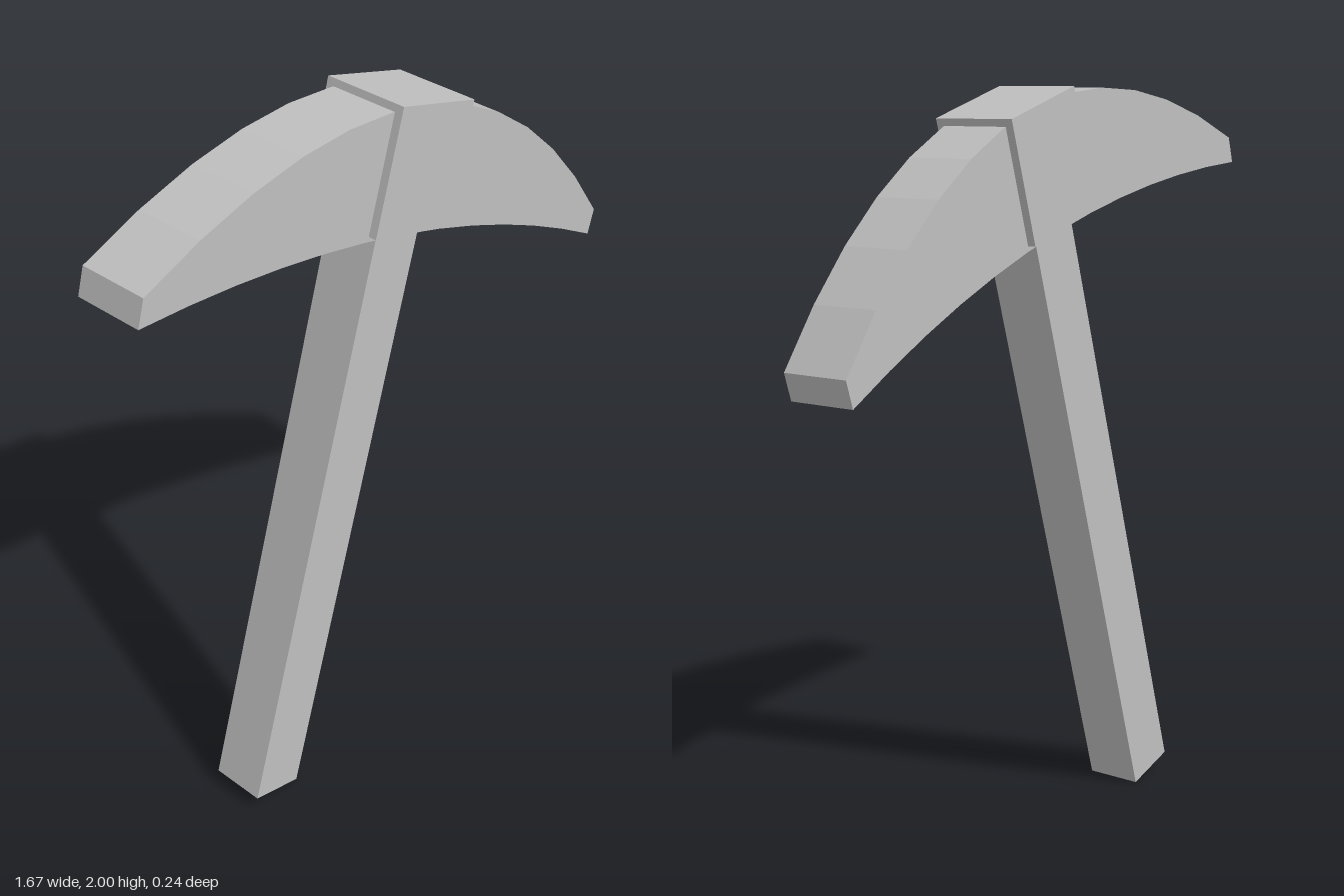
import * as THREE from 'three';

export function createModel() {
  const model = new THREE.Group();
  model.name = 'pickaxe';
  const grey = new THREE.MeshStandardMaterial({ color: 0xbfbfbf });
  grey.name = 'plain grey';
  grey.flatShading = true;

  const add = (name, geometry, y = 0) => {
    const mesh = new THREE.Mesh(geometry, grey);
    mesh.name = name;
    mesh.position.y = y;
    model.add(mesh);
  };

  // Curved blade: two shallow arcs joined by blunt tips
  const halfSpan = 0.863, steps = 12, thickness = 0.194;
  const outline = [];
  for (let i = 0; i <= steps; i++) {
    const u = halfSpan * (2 * i / steps - 1);
    outline.push(new THREE.Vector2(u, -0.174 - 0.144 * u * u));
  }
  for (let i = steps; i >= 0; i--) {
    const u = halfSpan * (2 * i / steps - 1);
    outline.push(new THREE.Vector2(u, 0.157 - 0.49 * u * u));
  }
  const blade = new THREE.ExtrudeGeometry(new THREE.Shape(outline), {
    depth: thickness, bevelEnabled: false,
  });
  blade.translate(0, 0, -thickness / 2);
  add('blade', blade);

  // Block that clasps the blade
  add('headBlock', new THREE.BoxGeometry(0.272, 0.33, 0.24), 0.002);

  // Square handle running up into the block
  const handleBottom = -1.857, handleTop = 0.05;
  add('handle',
    new THREE.BoxGeometry(0.162, handleTop - handleBottom, 0.156),
    (handleTop + handleBottom) / 2);

  // Lean the whole tool towards its left
  model.rotation.z = THREE.MathUtils.degToRad(-17);
  model.position.set(0.07, 1.8, 0);

  const root = new THREE.Group();
  root.name = 'model';
  root.add(model);
  return root;
}
